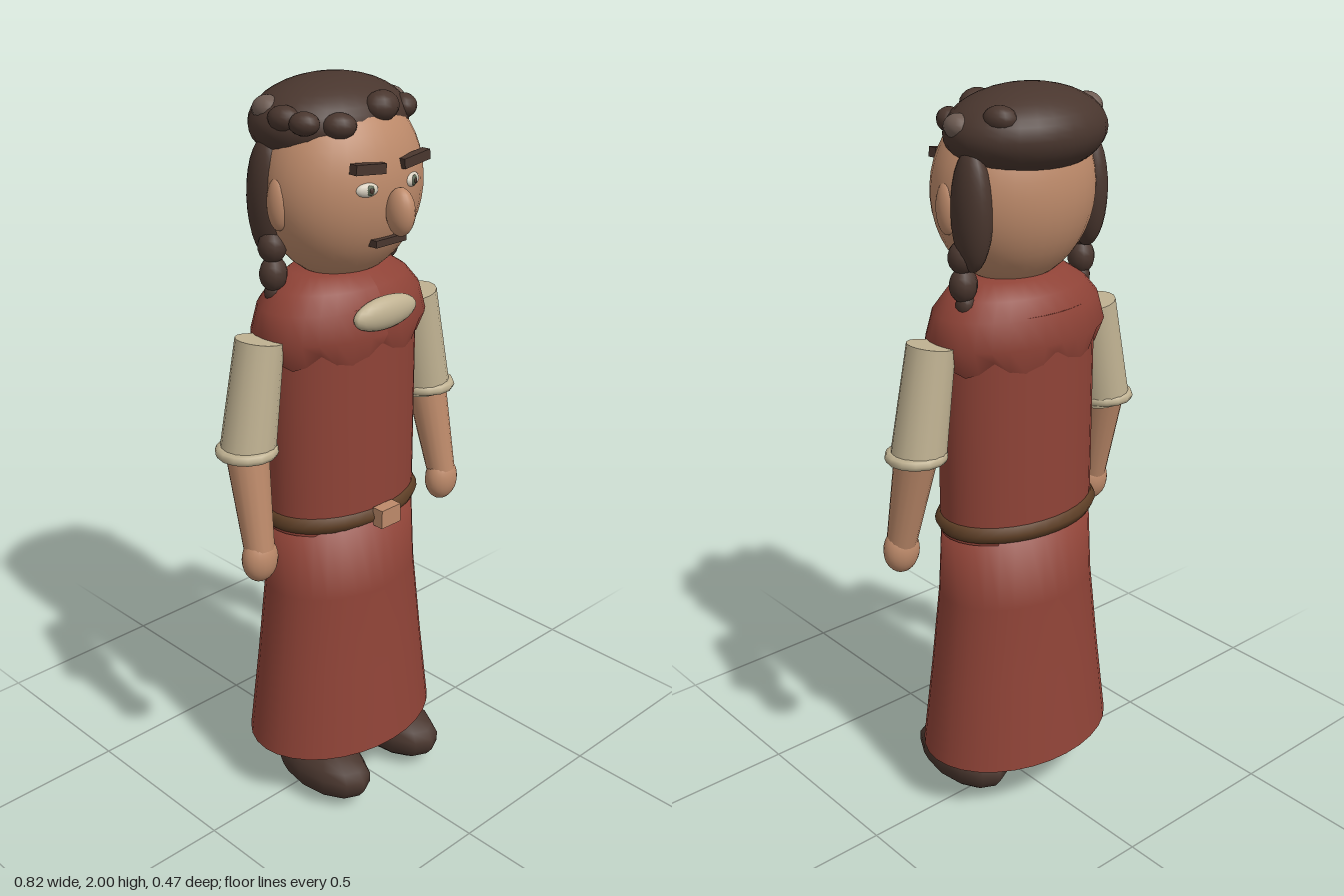
import * as THREE from 'three';

const mat = (name, color) => {
  const m = new THREE.MeshStandardMaterial({ color });
  m.name = name;
  return m;
};

export function createModel() {
  const robe = mat('red cloth', 0x8f4337);
  const skin = mat('skin', 0xbd8a6a);
  const hair = mat('dark brown hair', 0x49362e);
  const greyHair = mat('greying hair', 0x6e5c53);
  const linen = mat('linen', 0xc0b292);
  const leather = mat('belt leather', 0x5e3f26);
  const white = mat('eye white', 0xd8d0c0);
  const iris = mat('iris', 0x55604c);
  const robeOpen = robe.clone();
  robeOpen.side = THREE.DoubleSide;

  const model = new THREE.Group();
  model.name = 'robedFigure';

  const add = (name, geometry, material, pos = [0, 0, 0], rot = [0, 0, 0]) => {
    const mesh = new THREE.Mesh(geometry, material);
    mesh.name = name;
    mesh.position.set(...pos);
    mesh.rotation.set(...rot);
    model.add(mesh);
    return mesh;
  };
  // Scaled sphere
  const blob = (name, material, pos, radii, rot, seg = 20) => {
    const mesh = add(name, new THREE.SphereGeometry(1, seg, Math.ceil(seg * 0.7)), material, pos, rot);
    mesh.scale.set(...radii);
    return mesh;
  };
  // Tapered cylinder between two points
  const limb = (name, material, from, to, r0, r1, seg = 16) => {
    const a = new THREE.Vector3(...from), b = new THREE.Vector3(...to);
    const mesh = add(name, new THREE.CylinderGeometry(r0, r1, a.distanceTo(b), seg), material);
    mesh.position.copy(a).add(b).multiplyScalar(0.5);
    mesh.quaternion.setFromUnitVectors(new THREE.Vector3(0, 1, 0), a.sub(b).normalize());
    return mesh;
  };
  // Lathe flattened front to back
  const gown = (name, material, profile, depth, z) => {
    const points = profile.map(([r, y]) => new THREE.Vector2(r, y));
    const mesh = add(name, new THREE.LatheGeometry(points, 32), material, [0, 0, z]);
    mesh.scale.z = depth;
    return mesh;
  };

  // Gown
  gown('skirt', robe, [[0, 0.165], [0.293, 0.165], [0.293, 0.165], [0.262, 0.41], [0.235, 0.65], [0.224, 0.86], [0, 0.86]], 0.74, -0.014);
  gown('torso', robe, [[0, 0.84], [0.232, 0.84], [0.232, 0.84], [0.232, 1.455], [0.232, 1.455], [0, 1.455]], 0.69, -0.015);

  // Shoulder cape with a scalloped hem
  const cape = gown('cape', robeOpen, [[0.238, 1.32], [0.266, 1.38], [0.245, 1.45], [0.205, 1.495], [0.15, 1.53], [0.0, 1.535]], 0.66, -0.015);
  const p = cape.geometry.attributes.position;
  for (let i = 0; i < p.count; i++) {
    if (p.getY(i) < 1.33) {
      const angle = Math.atan2(p.getX(i), p.getZ(i));
      p.setY(i, 1.345 - 0.04 * Math.abs(Math.sin(angle * 4)));
    }
  }
  cape.geometry.computeVertexNormals();
  blob('neckCloth', linen, [0, 1.435, 0.15], [0.108, 0.043, 0.03]);

  // Belt and buckle
  const belt = add('belt', new THREE.TorusGeometry(0.222, 0.025, 6, 36), leather, [0, 0.87, -0.016], [Math.PI / 2, 0, 0]);
  belt.scale.set(1, 0.7, 1);
  add('buckle', new THREE.BoxGeometry(0.07, 0.052, 0.035), skin, [0, 0.872, 0.165]);

  // Head, nose and mouth
  blob('head', skin, [0, 1.74, -0.005], [0.226, 0.24, 0.18], [0, 0, 0], 32);
  blob('nose', skin, [0, 1.7, 0.197], [0.032, 0.06, 0.04]);
  add('mouth', new THREE.BoxGeometry(0.105, 0.018, 0.03), hair, [0, 1.623, 0.154]);

  // Hair cap and curls: x, y, z, size, greying
  blob('hairCap', hair, [0, 1.89, -0.05], [0.222, 0.11, 0.172], [0, 0, 0], 28);
  const curls = [
    [-0.175, 1.93, -0.08, 0.045, 1], [-0.19, 1.92, -0.005, 0.042, 0],
    [-0.18, 1.915, 0.055, 0.038, 0], [-0.105, 1.905, 0.095, 0.042, 0],
    [0.03, 1.935, 0.1, 0.05, 0], [0.15, 1.915, 0.06, 0.04, 0],
    [0.195, 1.915, -0.03, 0.042, 1], [0.148, 1.94, -0.125, 0.042, 0],
  ];
  for (const [x, y, z, s, grey] of curls) {
    blob('curl', grey ? greyHair : hair, [x, y, z], [s, s * 0.75, s * 0.8], [0, Math.atan2(x, z + 0.05), 0], 14);
  }

  for (const s of [-1, 1]) {
    // Face
    blob('eye', white, [s * 0.077, 1.76, 0.158], [0.031, 0.018, 0.014], [0, s * 0.3, 0], 14);
    blob('iris', iris, [s * 0.075, 1.76, 0.169], [0.012, 0.013, 0.006], [0, s * 0.3, 0], 12);
    blob('pupil', hair, [s * 0.075, 1.76, 0.174], [0.006, 0.007, 0.003], [0, s * 0.3, 0], 10);
    add('eyebrow', new THREE.BoxGeometry(0.095, 0.025, 0.025), hair, [s * 0.078, 1.812, 0.164], [0, s * 0.06, s * 0.1]);
    blob('ear', skin, [s * 0.213, 1.72, -0.005], [0.025, 0.066, 0.032]);

    // Side hair and braid
    blob('sideHair', hair, [s * 0.19, 1.72, -0.07], [0.045, 0.15, 0.06]);
    blob('braidTop', hair, [s * 0.2, 1.605, -0.045], [0.037, 0.042, 0.037], [0, 0, 0], 12);
    blob('braidMiddle', hair, [s * 0.198, 1.535, -0.045], [0.037, 0.045, 0.035], [0, 0, 0], 12);
    blob('braidTip', hair, [s * 0.195, 1.485, -0.048], [0.025, 0.03, 0.025], [0, 0, 0], 12);

    // Arm
    limb('sleeve', linen, [s * 0.277, 1.39, -0.012], [s * 0.326, 1.1, -0.012], 0.062, 0.072);
    add('cuff', new THREE.TorusGeometry(0.067, 0.015, 8, 14), linen, [s * 0.33, 1.108, -0.01], [Math.PI / 2, 0, 0]);
    limb('forearm', skin, [s * 0.33, 1.12, -0.012], [s * 0.345, 0.85, 0.045], 0.057, 0.04);
    blob('hand', skin, [s * 0.345, 0.825, 0.047], [0.051, 0.064, 0.042]);

    // Leg and shoe
    limb('leg', robe, [s * 0.14, 0.5, 0], [s * 0.14, 0.145, -0.01], 0.075, 0.075);
    blob('shoe', hair, [s * 0.14, 0.082, 0.06], [0.092, 0.08, 0.17], [0, 0, 0], 12);
  }
  return model;
}
